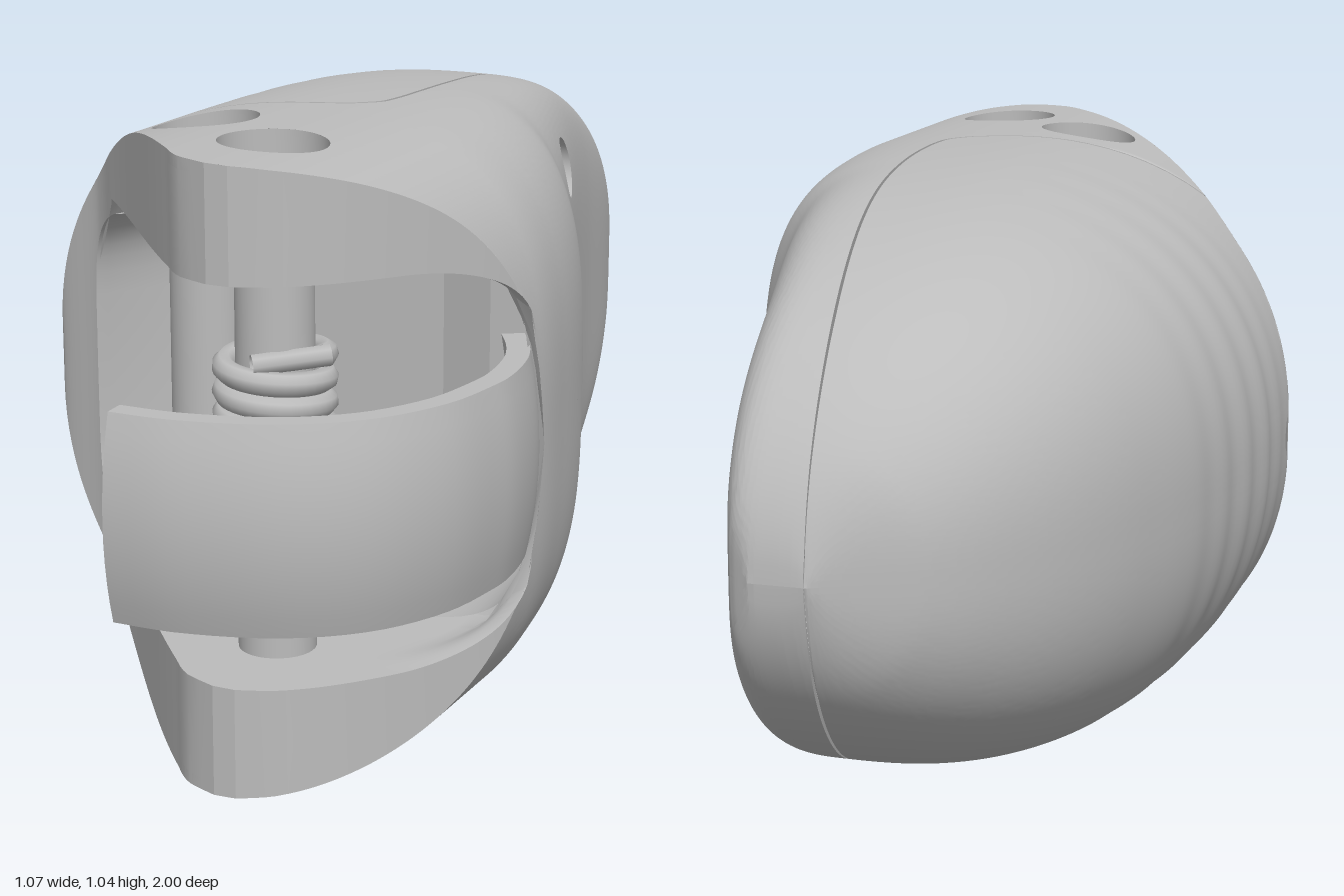
import * as THREE from 'three';
import { toCreasedNormals } from 'three/addons/utils/BufferGeometryUtils.js';

const MID = 0.52, XC = 0.03, HALF = 0.33;
const lerp = (a, b, t) => a + (b - a) * t;
const smooth = THREE.MathUtils.smoothstep;

// Monotone curve through [z, x] pairs
function curve(p) {
  const d = p.slice(1).map((q, i) => (q[1] - p[i][1]) / (q[0] - p[i][0]));
  const m = p.map((_, i) => {
    if (i === 0) return d[0];
    if (i === p.length - 1) return d[i - 1];
    return d[i - 1] * d[i] <= 0 ? 0 : 2 * d[i - 1] * d[i] / (d[i - 1] + d[i]);
  });
  return z => {
    z = Math.min(Math.max(z, p[0][0]), p[p.length - 1][0]);
    let i = 0;
    while (i < p.length - 2 && z > p[i + 1][0]) i++;
    const w = p[i + 1][0] - p[i][0], t = (z - p[i][0]) / w, t2 = t * t, t3 = t2 * t;
    return (2 * t3 - 3 * t2 + 1) * p[i][1] + (t3 - 2 * t2 + t) * w * m[i]
      + (3 * t2 - 2 * t3) * p[i + 1][1] + (t3 - t2) * w * m[i + 1];
  };
}

// Plan outline, and the seam between paddle and body
const xl = curve([[-1, -0.035], [-0.985, -0.06], [-0.92, -0.195], [-0.815, -0.3], [-0.68, -0.385], [-0.55, -0.44],
  [-0.36, -0.495], [-0.1, -0.53], [0, -0.535], [0.18, -0.53], [0.24, -0.41], [0.31, -0.34], [0.7, 0], [0.75, 0.05],
  [0.775, 0.11]]);
const xr = curve([[-1, 0.06], [-0.97, 0.1], [-0.88, 0.135], [-0.6, 0.2], [-0.33, 0.28], [-0.13, 0.36],
  [-0.02, 0.42], [0.18, 0.47], [0.33, 0.49], [0.4, 0.47], [0.53, 0.4], [0.67, 0.3], [0.75, 0.21], [0.775, 0.15]]);
const seam = curve([[-1, -0.035], [0.1, 0.13], [0.17, 0.125], [0.22, 0.09], [0.25, 0.025], [0.268, -0.05], [0.31, -0.34]]);
const bodySeam = z => seam(z - 0.006) + 0.006;

// Half height of the shell at (x, z); the right flank flattens into a pad towards the tail
const tall = z => 0.52 * Math.sqrt(Math.max(0, 1 - Math.max(0, (0.3 - z) / 1.3) ** 2.8));
const wideR = z => xr(Math.min(z, 0.33)) - XC;
const powR = z => lerp(4, 3.2, smooth(z, -0.45, -0.05));
const powL = z => lerp(2.5, 2.2, smooth(z, -0.8, 0.1));
function half(x, z) {
  const left = x < XC, p = left ? powL(z) : powR(z);
  const a = left ? XC - xl(Math.min(z, 0.15)) : wideR(z);
  return tall(z) * Math.max(0, 1 - Math.min(1, Math.abs(x - XC) / a) ** p) ** (1 / p);
}
const sideX = (dy, z) => XC + wideR(z) * Math.max(0, 1 - (dy / tall(z)) ** powR(z)) ** (1 / powR(z));
// Side opening between the two arms
const gap = z => z < 0.36 ? 0 : 0.2 + 0.13 * Math.sqrt(Math.max(0, 1 - (Math.max(0, 0.6 - z) / 0.24) ** 2));
const inner = (x, z) => lerp(HALF, Math.min(HALF, gap(Math.max(z, 0.36))), smooth(x, xr(z) - 0.1, xr(z)));

const PINS = [[-0.08, 0.43], [0.12, 0.57]], PIN_R = 0.09;
const SIDE = { dy: 0.33, z: -0.29, r: 0.055 };

// Surface from f(i, j) -> [x, y, z, insideHole]
function grid(nu, nv, f) {
  const pos = [], hole = [], idx = [];
  for (let j = 0; j <= nv; j++) for (let i = 0; i <= nu; i++) {
    const [x, y, z, h] = f(i, j);
    pos.push(x, y, z);
    hole.push(h);
  }
  const tri = (a, b, c) => { if (!(hole[a] && hole[b] && hole[c])) idx.push(a, b, c); };
  for (let j = 0; j < nv; j++) for (let i = 0; i < nu; i++) {
    const a = j * (nu + 1) + i, b = a + nu + 1;
    tri(a, b, a + 1);
    tri(a + 1, b, b + 1);
  }
  const g = new THREE.BufferGeometry();
  g.setAttribute('position', new THREE.Float32BufferAttribute(pos, 3));
  g.setIndex(idx);
  return toCreasedNormals(g, 0.6);
}

const span = (a, b, n, e = 1) => Array.from({ length: n + 1 }, (_, i) => lerp(a, b, (i / n) ** e));

// Screw head facing +z at z = 0, with a sunken cross
function screwHead(r) {
  const s = new THREE.Shape().absarc(0, 0, r, 0, Math.PI * 2), a = r * 0.55, b = r * 0.12;
  s.holes.push(new THREE.Path([[a, b], [b, b], [b, a], [-b, a], [-b, b], [-a, b], [-a, -b], [-b, -b], [-b, -a],
    [b, -a], [b, -b], [a, -b]].map(p => new THREE.Vector2(...p))));
  return new THREE.ExtrudeGeometry(s, { depth: 0.03, bevelEnabled: false, curveSegments: 20 }).translate(0, 0, -0.03);
}

export function createModel() {
  const root = new THREE.Group();
  const grey = new THREE.MeshStandardMaterial({ color: 0xbcbcbc, side: THREE.DoubleSide });
  grey.name = 'grey plastic';
  const add = (name, geo, parent = root) => {
    const m = new THREE.Mesh(geo, grey);
    m.name = name;
    parent.add(m);
    return m;
  };
  const addHead = (parent, r) => {
    const head = new THREE.Group();
    head.name = 'screwHead';
    add('crossHead', screwHead(r), head);
    add('crossFloor', new THREE.CircleGeometry(r, 32), head).position.z = -0.029;
    parent.add(head);
    return head;
  };

  const back = span(-1, 0.1, 80, 1.5);
  const bodyZ = [...back, ...span(0.11, 0.25, 14), ...span(0.256, 0.316, 12), ...span(0.325, 0.3599, 4),
    ...span(0.3601, 0.775, 45)];
  const paddleZ = [...back, ...span(0.11, 0.25, 14), ...span(0.255, 0.31, 11)];

  for (const s of [1, -1]) {
    const side = s > 0 ? 'upper' : 'lower';

    // Body shell and arm, with openings for the screws
    const nb = 110;
    add(side + 'Body', grid(nb + 1, bodyZ.length - 1, (i, j) => {
      let z = bodyZ[j];
      const u = Math.max(0, i - 1) / nb;
      const xa = z < 0.316 ? Math.min(Math.max(bodySeam(z), xl(z)), xr(z)) : xl(z);
      let x = lerp(xa, xr(z), 1 - (1 - u) ** 3);
      let y = Math.max(half(x, z), gap(z)), cut = false;
      if (i === 0) y = Math.max(0, y - 0.02);
      for (const [px, pz] of PINS) {
        const d = Math.hypot(x - px, z - pz);
        if (d < PIN_R && d > 0) {
          cut = true;
          x = px + (x - px) * PIN_R / d;
          z = pz + (z - pz) * PIN_R / d;
          y = half(x, z);
        }
      }
      const e = Math.hypot(y - SIDE.dy, z - SIDE.z);
      if (x > 0.15 && e < SIDE.r && e > 0) {
        cut = true;
        y = SIDE.dy + (y - SIDE.dy) * SIDE.r / e;
        z = SIDE.z + (z - SIDE.z) * SIDE.r / e;
        x = sideX(y, z);
      }
      return [x, MID + s * y, z, cut];
    }));

    // Paddle with soft finger ripples and a sunken seam along its edge
    const np = 60;
    add(side + 'Paddle', grid(np + 2, paddleZ.length - 1, (i, j) => {
      const z = paddleZ[j], w = Math.min(1, i / np) ** 3;
      let x = lerp(xl(z), seam(z), w), y = half(x, z);
      if (i > np) y = Math.max(0, y - 0.02);
      if (i === np + 2) x = Math.max(x, bodySeam(z));
      const fade = smooth(z, -0.45, -0.2) * (1 - smooth(z, 0.05, 0.17));
      x += 0.003 * (1 + Math.sin(z * 52)) * fade * (1 - w);
      return [x, MID + s * y, z];
    }));

    // Front rim of the paddle
    const rimZ = span(0.17, 0.31, 40);
    add(side + 'PaddleRim', grid(1, 40, (i, j) => {
      const z = rimZ[j], x = xl(z);
      const low = x < -0.42 ? 0 : lerp(0.18, 0.32, Math.min(1, (x + 0.42) / 0.08));
      return [x, MID + s * (i ? half(x, z) : low), z];
    }));

    // Arm edges and inner face
    const armZ = span(0.3, 0.775, 40);
    for (const [name, edge, start] of [['ArmLeftEdge', xl, 0.31], ['ArmRightEdge', xr, 0.36]])
      add(side + name, grid(1, 40, (i, j) => {
        const z = Math.max(start, armZ[j]), x = edge(z);
        return [x, MID + s * (i ? Math.max(half(x, z), gap(z)) : inner(x, z)), z];
      }));
    add(side + 'ArmInnerFace', grid(30, 40, (i, j) => {
      const z = armZ[j], x = lerp(Math.max(xl(z), -0.34), xr(z), i / 30);
      return [x, MID + s * Math.min(inner(x, z), Math.max(half(x, z), gap(z))), z];
    }));
    add(side + 'ArmNose', grid(1, 1, (i, j) => {
      const x = i ? xl(0.775) : xr(0.775);
      return [x, MID + s * (j ? half(x, 0.775) : HALF), 0.775];
    }));

    // Recessed pivot screws
    PINS.forEach(([px, pz], k) => {
      const g = new THREE.Group();
      g.name = side + 'PivotScrew' + (k + 1);
      root.add(g);
      add('recess', grid(40, 1, (i, j) => {
        const a = i / 40 * Math.PI * 2, x = px + PIN_R * Math.cos(a), z = pz + PIN_R * Math.sin(a);
        return [x, MID + s * (j ? half(x, z) : 0.42), z];
      }), g);
      const head = addHead(g, PIN_R);
      head.rotation.set(-s * Math.PI / 2, 0, 0.15);
      head.position.set(px, MID + s * 0.44, pz);
    });

    // Recessed side screws, sunk along x
    const g = new THREE.Group(), x0 = sideX(SIDE.dy, SIDE.z) - 0.045;
    g.name = side + 'SideScrew';
    root.add(g);
    add('recess', grid(32, 1, (i, j) => {
      const a = i / 32 * Math.PI * 2, dy = SIDE.dy + SIDE.r * Math.cos(a), z = SIDE.z + SIDE.r * Math.sin(a);
      return [j ? sideX(dy, z) : x0 - 0.02, MID + s * dy, z];
    }), g);
    const head = addHead(g, SIDE.r);
    head.rotation.y = Math.PI / 2;
    head.position.set(x0, MID + s * SIDE.dy, SIDE.z);
  }

  // Inner cavity: rounded pocket narrowing to a closed back
  const frontZ = x => x < -0.34 ? lerp(0.24, 0.31, (x + 0.42) / 0.08) : Math.min(0.36, 0.31 + (x + 0.34) * 1.15);
  const pow = v => Math.sign(v) * Math.abs(v) ** 0.4;
  add('cavity', grid(64, 13, (i, j) => {
    const a = i / 64 * Math.PI * 2, c = pow(Math.cos(a)), n = pow(Math.sin(a));
    const t = Math.max(0, j - 1) / 12, e = Math.sqrt(t), k = j === 0 ? 0 : 1;
    const xf = 0.0275 + 0.4475 * c, xb = 0.105 + 0.265 * c * k;
    return [lerp(xb, xf, e), MID + HALF * n * k, lerp(0, frontZ(xf), t)];
  }));
  add('cavityBlock', new THREE.BoxGeometry(0.4, 0.49, 0.06)).position.set(0.05, MID, 0.03);
  add('cavityPost', new THREE.BoxGeometry(0.26, 0.49, 0.14)).position.set(0.12, MID, 0.13);
  add('cavitySlotBar', new THREE.BoxGeometry(0.045, 0.41, 0.04)).position.set(-0.262, MID, 0.08);

  // Pivot pins
  PINS.forEach(([x, z], k) =>
    add('pivotPin' + (k + 1), new THREE.CylinderGeometry(0.065, 0.065, 0.68, 32)).position.set(x, MID, z));

  // Coil spring with its legs
  const coil = [];
  for (let i = 0; i <= 8 * 16; i++) {
    const a = i / 16 * Math.PI * 2;
    coil.push(new THREE.Vector3(0.12 + 0.083 * Math.cos(a), 0.375 + i / 128 * 0.32, 0.57 + 0.083 * Math.sin(a)));
  }
  add('spring', new THREE.TubeGeometry(new THREE.CatmullRomCurve3(coil), 300, 0.02, 8));
  const leg = (a, b) => new THREE.TubeGeometry(new THREE.LineCurve3(new THREE.Vector3(...a), new THREE.Vector3(...b)), 1, 0.018, 8);
  add('springFrontLeg', leg([0.12, 0.69, 0.65], [0.22, 0.7, 0.57]));
  add('springBackLeg', leg([0.06, 0.695, 0.5], [-0.16, 0.7, 0.15]));
  add('leverPeg', leg([0.2, 0.54, 0.58], [0.34, 0.54, 0.67]));

  // Curved lever plate, slightly crowned across its width
  const path = new THREE.SplineCurve([[0.05, 0.995], [0.17, 0.988], [0.32, 0.94], [0.435, 0.85], [0.505, 0.725],
    [0.53, 0.6], [0.533, 0.52], [0.517, 0.42], [0.488, 0.345], [0.45, 0.28]].map(p => new THREE.Vector2(p[0], -p[1])));
  const outer = path.getPoints(40);
  const under = outer.map((p, i) => {
    const t = path.getTangent(i / 40);
    return new THREE.Vector2(p.x - t.y * 0.04, p.y + t.x * 0.04);
  });
  const lever = new THREE.ExtrudeGeometry(new THREE.Shape([...outer, ...under.reverse()]),
    { depth: 0.336, steps: 10, bevelEnabled: false });
  lever.rotateX(-Math.PI / 2).translate(0, 0.355, 0);
  const lp = lever.attributes.position;
  for (let i = 0; i < lp.count; i++) {
    const k = ((lp.getY(i) - 0.523) / 0.168) ** 2;
    lp.setX(i, lp.getX(i) - 0.02 * k * Math.max(0, lp.getX(i)) / 0.53);
    lp.setZ(i, lp.getZ(i) - 0.045 * k * Math.max(0, lp.getZ(i) - 0.4));
  }
  add('lever', toCreasedNormals(lever, 0.6));

  return root;
}
